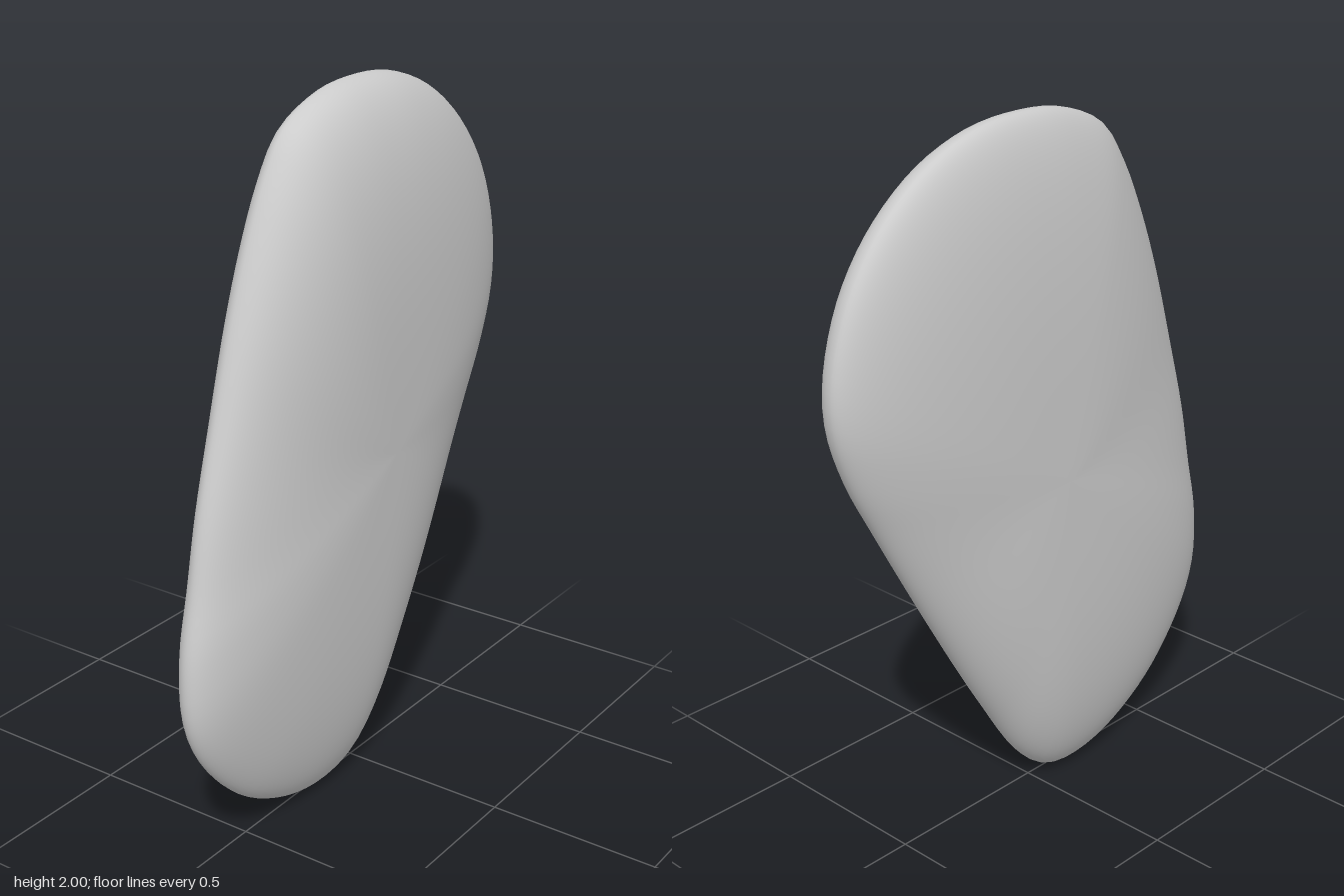
import * as THREE from 'three';
import { mergeVertices } from 'three/addons/utils/BufferGeometryUtils.js';

// Rim of the pebble as seen from the side: [z, y]
const RIM = [
  [0.26, 1.92], [0.1, 1.985], [-0.06, 2.0], [-0.23, 1.985], [-0.41, 1.92], [-0.57, 1.8],
  [-0.68, 1.65], [-0.74, 1.47], [-0.742, 1.33], [-0.69, 1.17], [-0.6, 1.0], [-0.4, 0.65],
  [-0.2, 0.32], [-0.05, 0.1], [0.05, 0.02], [0.17, 0.0], [0.33, 0.03], [0.52, 0.13],
  [0.68, 0.3], [0.742, 0.44], [0.745, 0.62], [0.705, 0.8], [0.66, 1.0], [0.58, 1.25],
  [0.5, 1.48], [0.42, 1.67], [0.34, 1.82],
];

function pebbleGeometry() {
  const curve = new THREE.CatmullRomCurve3(RIM.map(([z, y]) => new THREE.Vector3(0, y, z)), true);
  const geo = new THREE.SphereGeometry(1, 120, 64);
  const pos = geo.attributes.position, uv = geo.attributes.uv;
  const columns = 120;
  const rim = Array.from({ length: columns }, (_, i) => curve.getPointAt(i / columns));

  // Poles face +x and -x; each ring is a scaled copy of the rim
  for (let i = 0; i < pos.count; i++) {
    const side = pos.getY(i);
    const s = Math.sqrt(Math.max(0, 1 - side * side));
    const r = rim[Math.round((1 - uv.getX(i)) * columns + columns) % columns];
    const z = r.z * s, y = 1 + (r.y - 1) * s;

    // Fullness of the dome: blunter towards the ends, slimmer towards the front
    const angle = Math.atan2(r.y - 1, r.z);
    const p = 2 + 1.3 * Math.sin(angle) ** 2 - 0.2 * Math.cos(angle);
    const dome = Math.abs(side) < 1e-6 ? 0 : Math.sqrt(Math.max(0, 1 - s ** p));

    // Slightly tilted middle plane, with a different bulge on each side
    const middle = -0.018 + 0.04 * z - 0.008 * (y - 1);
    const bulge = side > 0 ? 0.176 + 0.038 * (y - 1) : -0.144 + 0.02 * (y - 1);
    pos.setXYZ(i, middle + bulge * dome, y, z);
  }

  // Weld the seam so the shading is smooth all round
  geo.deleteAttribute('uv');
  geo.deleteAttribute('normal');
  const welded = mergeVertices(geo, 1e-5);
  welded.computeVertexNormals();
  return welded;
}

export function createModel() {
  const group = new THREE.Group();
  group.name = 'flatPebble';
  const stone = new THREE.Mesh(pebbleGeometry(), new THREE.MeshStandardMaterial({ color: 0xcccccc }));
  stone.name = 'stone';
  group.add(stone);
  return group;
}
